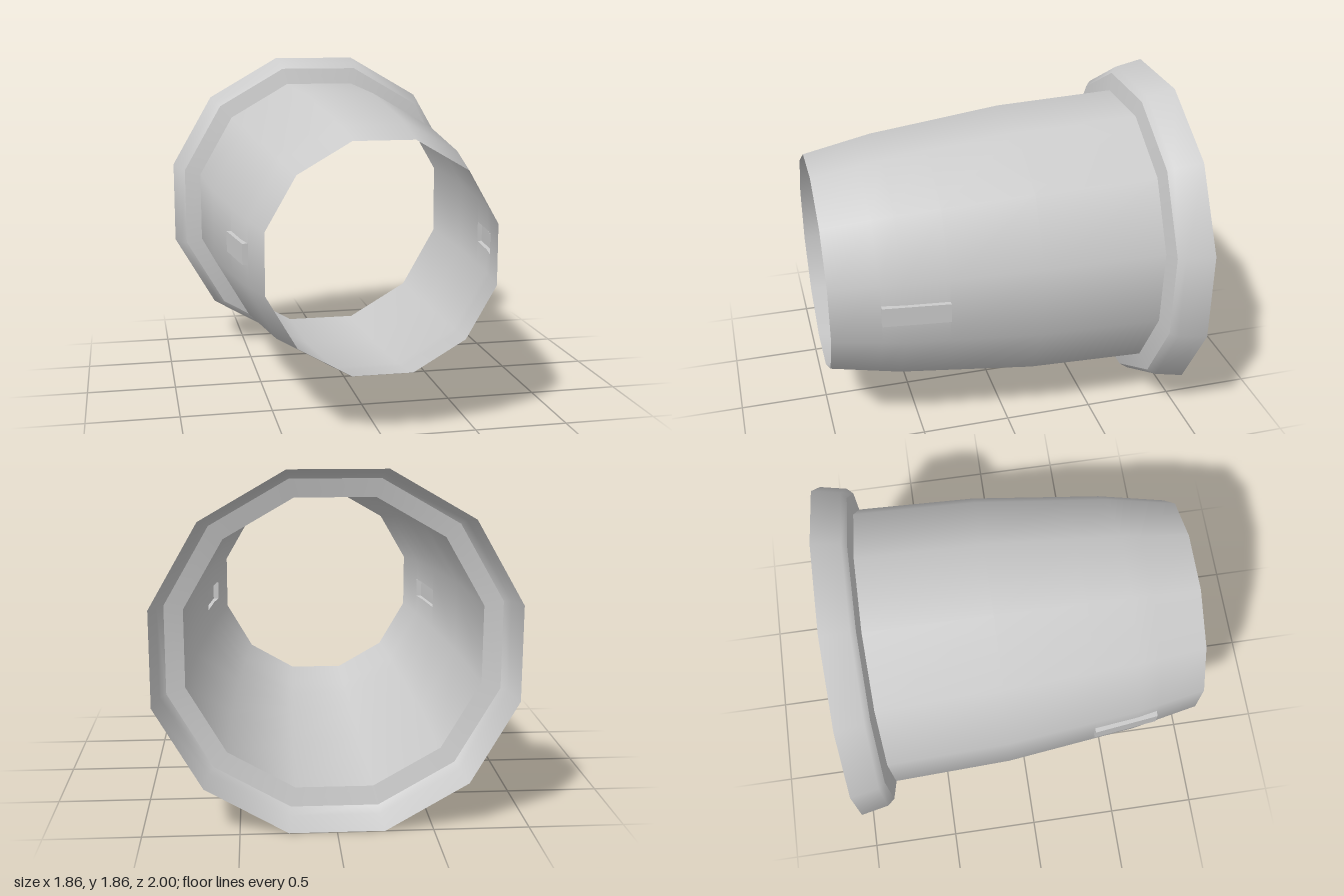
import * as THREE from 'three';

const SIDES = 12;
const HALF = Math.PI / SIDES;
const CENTRE_Y = 0.93;
const SLOT = 0.055; // half height of the side slots

const material = new THREE.MeshStandardMaterial({ color: 0xcccccc, side: THREE.DoubleSide });

// Twelve-sided shell from rows [apothem, z, wobble], front to back.
// Rows listed in slotBands leave an opening in the two side facets.
function shell(name, rows, slotBands = []) {
  const positions = [], normals = [];
  const slope = rows.map((_, i) => {
    const a = rows[Math.max(i - 1, 0)], b = rows[Math.min(i + 1, rows.length - 1)];
    return new THREE.Vector2(a[1] - b[1], b[0] - a[0]).normalize();
  });
  // u runs across a facet from -1 to 1
  const vertex = (facet, u, i) => {
    const [r, z, wobble = 0] = rows[i];
    const c = Math.cos(facet * 2 * HALF), s = Math.sin(facet * 2 * HALF);
    const t = u * Math.tan(HALF);
    const dx = c - t * s, dy = s + t * c;
    positions.push(r * dx, r * dy, z + wobble * dy);
    const n = new THREE.Vector3(dx, dy, 0).normalize().multiplyScalar(slope[i].x);
    n.z = slope[i].y;
    normals.push(n.x, n.y, n.z);
  };
  for (let f = 0; f < SIDES; f++) {
    for (let i = 0; i < rows.length - 1; i++) {
      let spans = [[-1, 1]];
      if (f % (SIDES / 2) === 0 && slotBands.includes(i)) {
        const edge = (r) => SLOT / (r * Math.tan(HALF));
        const e0 = edge(rows[i][0]), e1 = edge(rows[i + 1][0]);
        spans = [[-1, -e0, -1, -e1], [e0, 1, e1, 1]];
      }
      for (const [a, b, c = a, d = b] of spans) {
        vertex(f, a, i); vertex(f, c, i + 1); vertex(f, d, i + 1);
        vertex(f, a, i); vertex(f, d, i + 1); vertex(f, b, i);
      }
    }
  }
  const geometry = new THREE.BufferGeometry();
  geometry.setAttribute('position', new THREE.Float32BufferAttribute(positions, 3));
  geometry.setAttribute('normal', new THREE.Float32BufferAttribute(normals, 3));
  const mesh = new THREE.Mesh(geometry, material);
  mesh.name = name;
  return mesh;
}

// Raised hollow cover over a slot, open towards the inside of the tube
function slotCover(name) {
  const outline = [[0.645, 0.735], [0.676, 0.735], [0.72, 0.375], [0.695, 0.375], [0.668, 0.62]];
  const p = [];
  const push = (i, y) => p.push(outline[i][0], y, outline[i][1]);
  // front end, outer face, back end
  for (let i = 0; i < 3; i++) {
    push(i, -SLOT); push(i + 1, -SLOT); push(i + 1, SLOT);
    push(i, -SLOT); push(i + 1, SLOT); push(i, SLOT);
  }
  // top and bottom, fanned from the point where the wall bends
  for (let i = 0; i < 3; i++) {
    push(4, SLOT); push(i, SLOT); push(i + 1, SLOT);
    push(4, -SLOT); push(i + 1, -SLOT); push(i, -SLOT);
  }
  const geometry = new THREE.BufferGeometry();
  geometry.setAttribute('position', new THREE.Float32BufferAttribute(p, 3));
  geometry.computeVertexNormals();
  const mesh = new THREE.Mesh(geometry, material);
  mesh.name = name;
  return mesh;
}

export function createModel() {
  const model = new THREE.Group();
  model.name = 'flangedSleeve';
  model.position.y = CENTRE_Y;

  // Tapered tube, open at both ends
  model.add(shell('taperedTube', [
    [0.595, 1], [0.646, 0.735], [0.668, 0.62], [0.695, 0.375], [0.75, -0.12], [0.772, -0.785, -0.015],
  ], [1, 2]));

  // Step out from the tube to the flange
  model.add(shell('flangeStep', [[0.772, -0.785, -0.015], [0.868, -0.808, -0.01]]));

  // Flared rim
  model.add(shell('flangeRim', [[0.868, -0.808, -0.01], [0.9, -0.845], [0.93, -1]]));

  // Slot covers on both sides
  const left = slotCover('leftSlotCover');
  const right = slotCover('rightSlotCover');
  right.rotation.z = Math.PI;
  model.add(left, right);

  const root = new THREE.Group();
  root.name = 'sleeve';
  root.add(model);
  return root;
}
